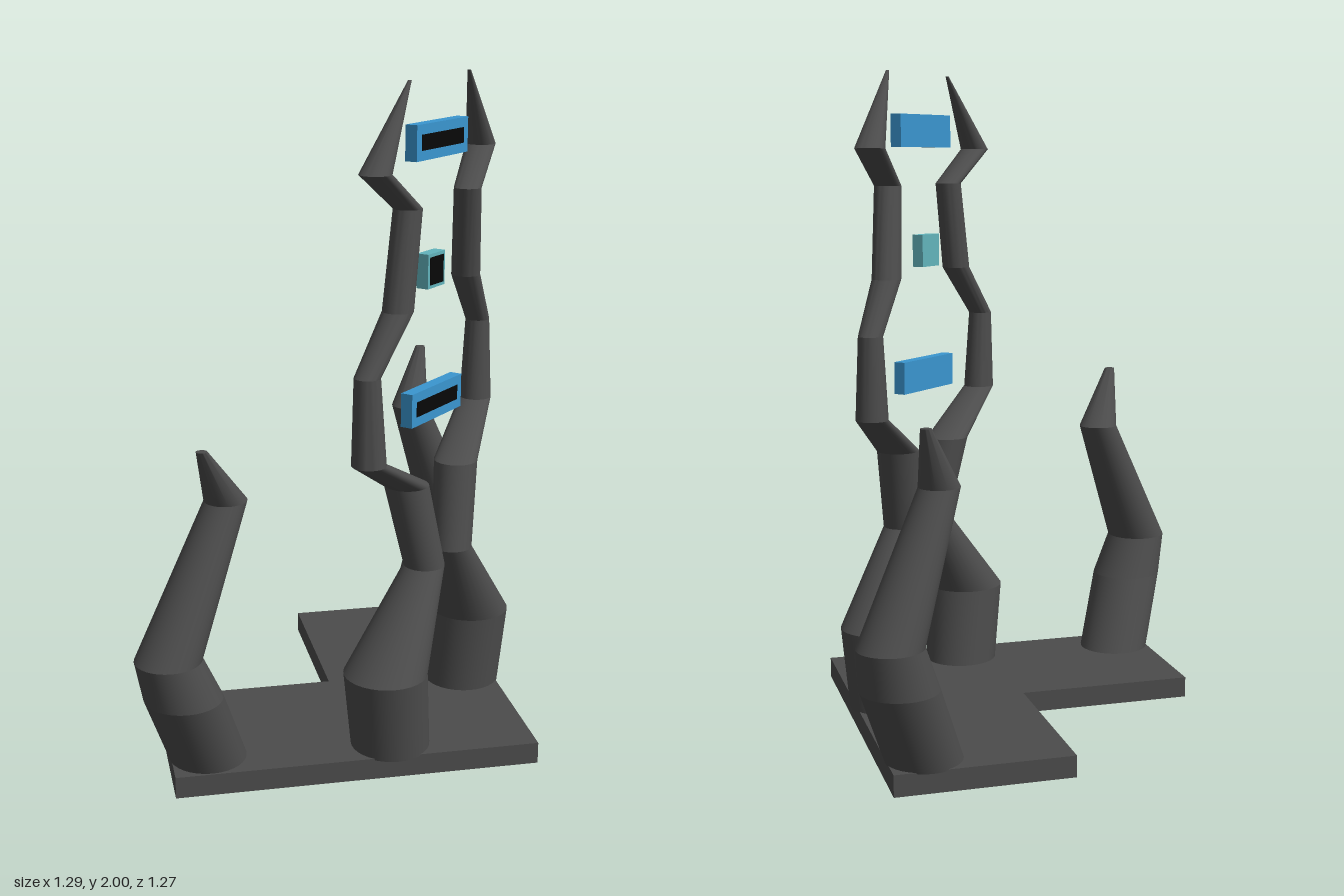
import * as THREE from 'three';
import { toCreasedNormals } from 'three/addons/utils/BufferGeometryUtils.js';

const dark = new THREE.MeshStandardMaterial({ color: 0x4c4c4c });
const blue = new THREE.MeshStandardMaterial({ color: 0x3a96d0 });
const teal = new THREE.MeshStandardMaterial({ color: 0x62b4bc });
const black = new THREE.MeshStandardMaterial({ color: 0x080808 });

// Jagged horn: sheared tapering tubes between level rings [x, y, z, radius]
function makeHorn(name, rings) {
  const horn = new THREE.Group();
  horn.name = name;
  for (let i = 0; i < rings.length - 1; i++) {
    const [x0, y0, z0, r0] = rings[i];
    const [x1, y1, z1, r1] = rings[i + 1];
    const isTip = i === rings.length - 2;
    const geo = new THREE.CylinderGeometry(r1, r0, 1, 32, 1, !isTip);
    const pos = geo.attributes.position;
    for (let k = 0; k < pos.count; k++) {
      const t = pos.getY(k) + 0.5;
      pos.setXYZ(k,
        pos.getX(k) + x0 + (x1 - x0) * t,
        y0 + (y1 - y0) * t,
        pos.getZ(k) + z0 + (z1 - z0) * t);
    }
    const mesh = new THREE.Mesh(toCreasedNormals(geo, 0.6), dark);
    mesh.name = isTip ? 'hornTip' : 'hornSegment';
    horn.add(mesh);
  }
  return horn;
}

// Floating block, turned to face the outer corner, with a dark front panel
function makeBlock(name, material, [x, y, z], [w, h], [pw, ph]) {
  const depth = 0.037;
  const block = new THREE.Group();
  block.name = name;
  const body = new THREE.Mesh(new THREE.BoxGeometry(w, h, depth), material);
  body.name = 'blockBody';
  const panel = new THREE.Mesh(new THREE.BoxGeometry(pw, ph, 0.006), black);
  panel.name = 'blockPanel';
  panel.position.z = depth / 2 - 0.001;
  block.add(body, panel);
  block.position.set(x, y, z);
  block.rotation.y = Math.PI / 4;
  return block;
}

export function createModel() {
  const model = new THREE.Group();
  model.name = 'hornedStand';

  // L-shaped base plate, drawn in (x, -z)
  const outline = [[-0.54, -0.545], [0.54, -0.545], [0.54, 0.535], [0.01, 0.535], [0.01, -0.02], [-0.54, -0.02]];
  const shape = new THREE.Shape(outline.map(([x, y]) => new THREE.Vector2(x, y)));
  const base = new THREE.Mesh(new THREE.ExtrudeGeometry(shape, { depth: 0.065, bevelEnabled: false }), dark);
  base.rotation.x = -Math.PI / 2;
  base.name = 'basePlate';
  model.add(base);

  // Tall pair at the outer corner
  const heights = [0.06, 0.31, 0.585, 0.84, 0.975, 1.225, 1.385, 1.66, 1.77, 2];
  const radii = [0.117, 0.123, 0.061, 0.066, 0.049, 0.037, 0.044, 0.041, 0.045, 0.005];
  const tallHorn = (name, path) =>
    makeHorn(name, path.map(([x, z], i) => [x, heights[i], z, radii[i]]));
  model.add(tallHorn('frontTallHorn', [
    [0.11, 0.45], [0.085, 0.485], [0.23, 0.355], [0.17, 0.365], [0.01, 0.575],
    [0.003, 0.578], [0.107, 0.49], [0.14, 0.453], [0.022, 0.57], [0.143, 0.443],
  ]));
  model.add(tallHorn('sideTallHorn', [
    [0.44, 0.052], [0.457, 0.063], [0.35, 0.225], [0.375, 0.162], [0.495, -0.05],
    [0.497, -0.055], [0.43, 0.033], [0.408, 0.107], [0.488, -0.04], [0.403, 0.11],
  ]));

  // Short horns at the two ends of the base
  model.add(makeHorn('frontShortHorn', [
    [-0.43, 0.06, 0.425, 0.113], [-0.508, 0.3, 0.515, 0.113], [-0.55, 0.43, 0.537, 0.096],
    [-0.365, 0.845, 0.41, 0.062], [-0.442, 1.025, 0.518, 0.016],
  ]));
  model.add(makeHorn('backShortHorn', [
    [0.43, 0.06, -0.43, 0.113], [0.515, 0.3, -0.513, 0.113], [0.545, 0.43, -0.54, 0.096],
    [0.38, 0.845, -0.43, 0.06], [0.436, 1.025, -0.52, 0.016],
  ]));

  // Floating blocks between the tall horns
  model.add(makeBlock('lowerBlock', blue, [0.265, 1.065, 0.275], [0.285, 0.1], [0.233, 0.044]));
  model.add(makeBlock('middleBlock', teal, [0.255, 1.455, 0.277], [0.095, 0.1], [0.074, 0.08]));
  model.add(makeBlock('upperBlock', blue, [0.267, 1.825, 0.275], [0.285, 0.1], [0.233, 0.044]));
  return model;
}
